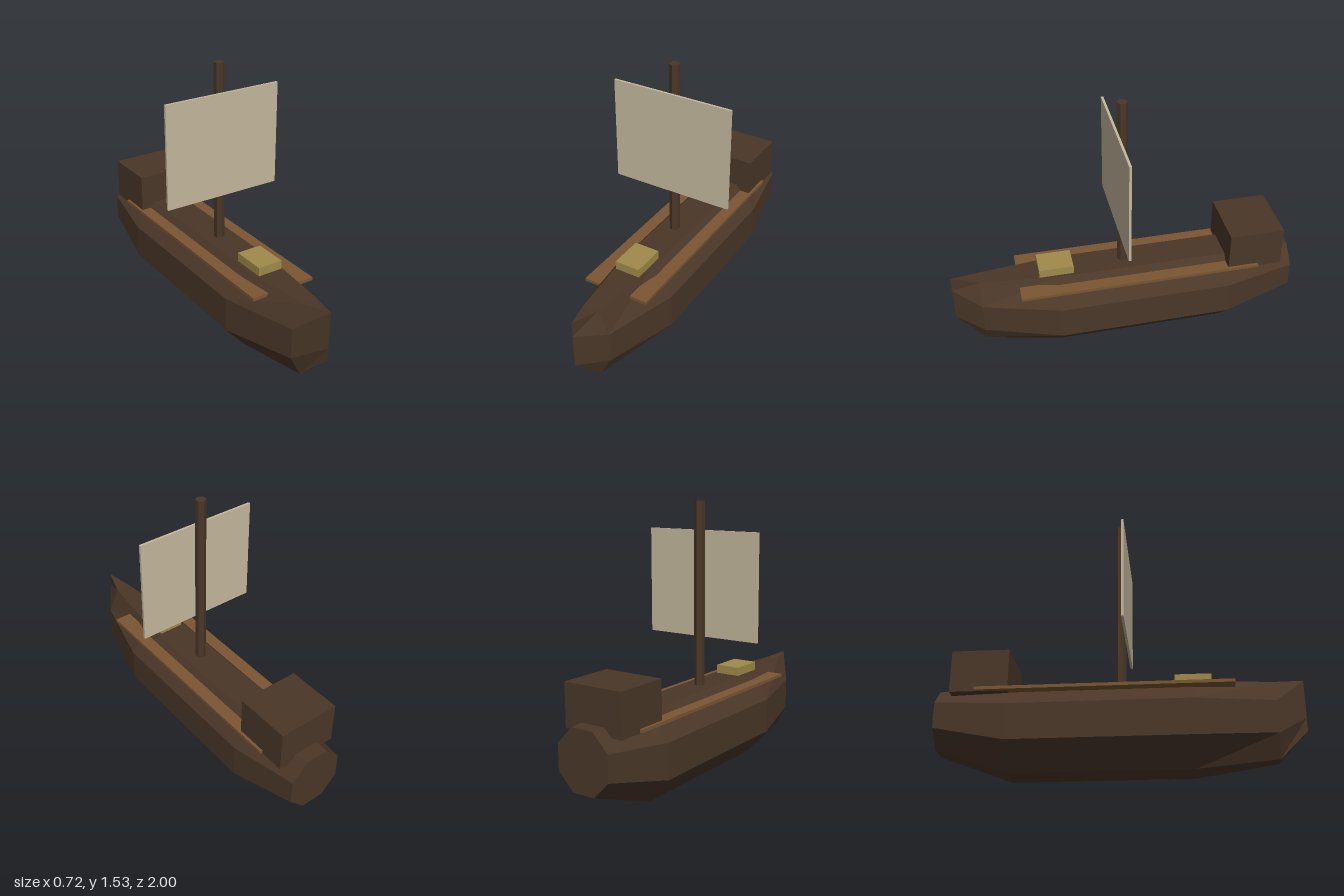
import * as THREE from 'three';

const mat = (name, color) => {
  const m = new THREE.MeshStandardMaterial({ color });
  m.name = name;
  return m;
};

// Octagonal hull lofted through a few stations, bow (+z) to stern (-z)
function hullGeometry() {
  // z, half width, half deck width, heights: keel, lower chine, upper chine, deck
  const stations = [
    [1, 0, 0, 0.22, 0.295, 0.42, 0.51],
    [0.84, 0.11, 0.045, 0.055, 0.18, 0.36, 0.49],
    [0.4, 0.22, 0.092, 0, 0.145, 0.345, 0.49],
    [-0.6, 0.22, 0.092, 0, 0.145, 0.345, 0.49],
    [-1, 0.16, 0.067, 0.145, 0.24, 0.385, 0.48],
  ];
  const rings = stations.map(([z, w, d, y0, y1, y2, y3]) => [
    [d, y3, z], [-d, y3, z], [-w, y2, z], [-w, y1, z],
    [-d, y0, z], [d, y0, z], [w, y1, z], [w, y2, z],
  ]);
  const pos = [];
  const tri = (...pts) => pts.forEach((p) => pos.push(...p));
  for (let s = 0; s < rings.length - 1; s++) {
    const f = rings[s], b = rings[s + 1];
    for (let i = 0; i < 8; i++) {
      const j = (i + 1) % 8;
      tri(f[i], b[i], b[j]);
      if (s > 0 || f[i][1] !== f[j][1]) tri(f[i], b[j], f[j]);
    }
  }
  // Flat transom
  const stern = rings[rings.length - 1];
  for (let i = 1; i < 7; i++) tri(stern[0], stern[i + 1], stern[i]);
  const geo = new THREE.BufferGeometry();
  geo.setAttribute('position', new THREE.Float32BufferAttribute(pos, 3));
  geo.computeVertexNormals();
  return geo;
}

export function createModel() {
  const ship = new THREE.Group();
  ship.name = 'sailingShip';

  const darkWood = mat('darkWood', 0x4a3728);
  darkWood.flatShading = true;
  const plankWood = mat('plankWood', 0x7a5533);
  const crateWood = mat('crateWood', 0xa08a4a);
  const canvas = mat('canvas', 0xc4b89e);

  const add = (name, geo, material, x = 0, y = 0, z = 0) => {
    const mesh = new THREE.Mesh(geo, material);
    mesh.name = name;
    mesh.position.set(x, y, z);
    ship.add(mesh);
  };
  const box = (name, material, w, h, d, x, y, z) =>
    add(name, new THREE.BoxGeometry(w, h, d), material, x, y, z);

  add('hull', hullGeometry(), darkWood);
  box('cabin', darkWood, 0.36, 0.24, 0.32, 0, 0.555, -0.76);

  // Mast and square sail
  add('mast', new THREE.CylinderGeometry(0.03, 0.03, 1.055, 6), darkWood, 0, 1.0075, 0);
  box('sail', canvas, 0.72, 0.605, 0.014, 0, 1.07, 0.036);

  // Side walkways
  for (const [name, side] of [['leftWalkway', 1], ['rightWalkway', -1]]) {
    box(name, plankWood, 0.1, 0.018, 1.4, side * 0.146, 0.447, -0.08);
  }

  // Cargo crate on the foredeck
  box('crate', crateWood, 0.15, 0.06, 0.2, 0, 0.51, 0.4);

  return ship;
}
